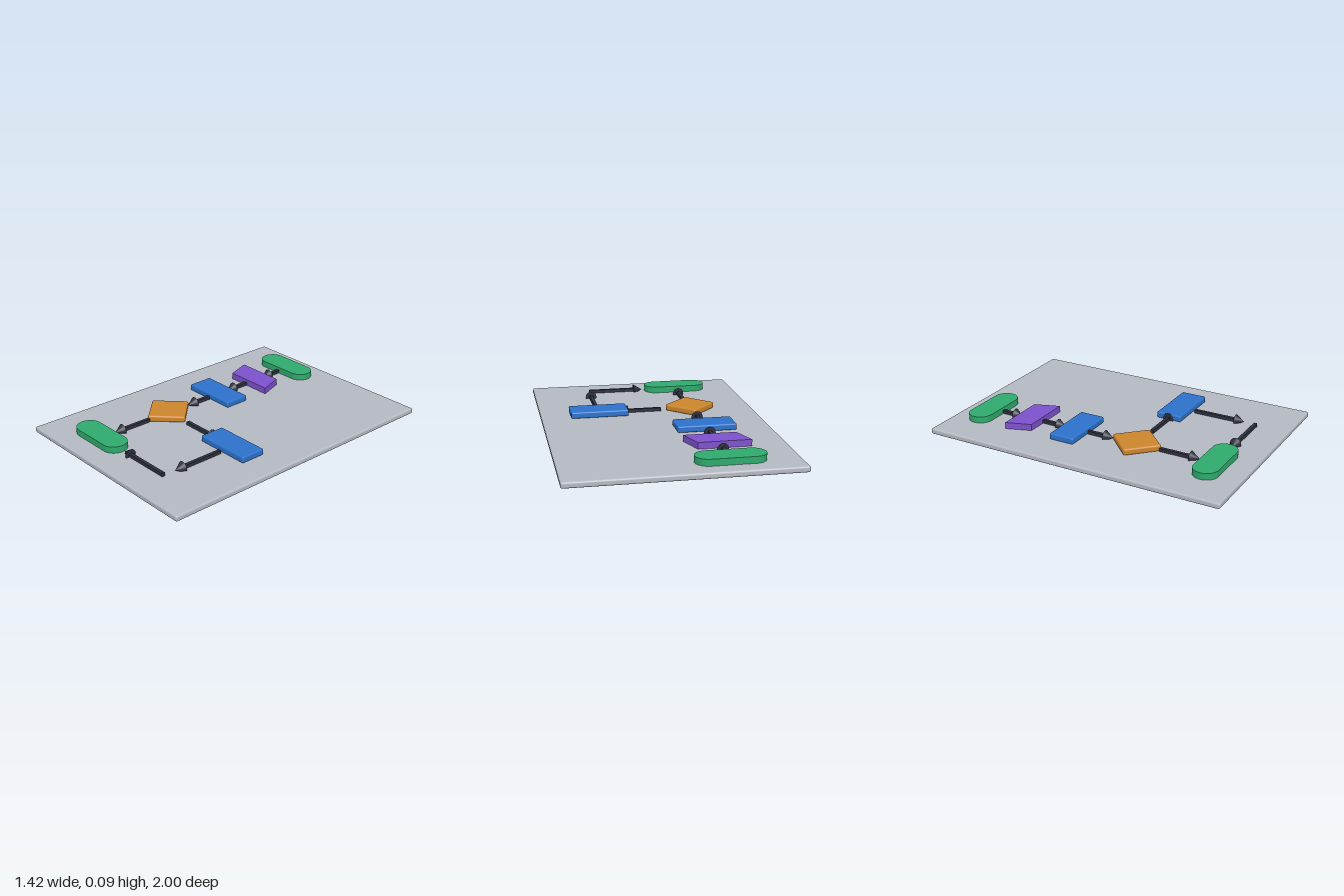
import * as THREE from 'three';
import { RoundedBoxGeometry } from 'three/addons/geometries/RoundedBoxGeometry.js';

const BOARD_H = 0.038; // board thickness
const TILE_H = 0.042; // thickness of the raised symbols
const COL_X = -0.288; // x of the main column

function material(name, color) {
  const m = new THREE.MeshStandardMaterial({ color });
  m.name = name;
  return m;
}

export function createModel() {
  const root = new THREE.Group();
  root.name = 'flowchartBoard';
  const grey = material('boardGrey', 0xb5b9c1);
  const green = material('terminalGreen', 0x2eaa6c);
  const purple = material('inputPurple', 0x7d52cc);
  const blue = material('processBlue', 0x2c72cc);
  const orange = material('decisionOrange', 0xcc852c);
  const dark = material('arrowDark', 0x2d313f);

  function add(name, geometry, mat, x, y, z, parent = root) {
    const mesh = new THREE.Mesh(geometry, mat);
    mesh.name = name;
    mesh.position.set(x, y, z);
    parent.add(mesh);
    return mesh;
  }

  // Flat outline extruded upwards; shape y points to -z
  function slab(shape) {
    const g = new THREE.ExtrudeGeometry(shape, { depth: TILE_H, bevelEnabled: false, curveSegments: 16 });
    return g.rotateX(-Math.PI / 2);
  }

  const tileY = BOARD_H + TILE_H / 2;

  // Base board
  add('board', new RoundedBoxGeometry(1.42, BOARD_H, 2, 3, 0.012), grey, 0, BOARD_H / 2, 0);

  // Start and end pills
  const r = 0.08, half = 0.134;
  const pill = new THREE.Shape();
  pill.moveTo(-half, -r);
  pill.lineTo(half, -r);
  pill.absarc(half, 0, r, -Math.PI / 2, Math.PI / 2, false);
  pill.lineTo(-half, r);
  pill.absarc(-half, 0, r, Math.PI / 2, Math.PI * 1.5, false);
  add('startTerminal', slab(pill), green, COL_X, BOARD_H, -0.814);
  add('endTerminal', slab(pill), green, COL_X, BOARD_H, 0.782);

  // Slanted input block
  const skew = new THREE.Shape([
    new THREE.Vector2(-0.138, -0.081), new THREE.Vector2(0.194, -0.081),
    new THREE.Vector2(0.138, 0.081), new THREE.Vector2(-0.194, 0.081),
  ]);
  add('inputBlock', slab(skew), purple, COL_X, BOARD_H, -0.505);

  // Process blocks and decision diamond
  const block = new RoundedBoxGeometry(0.38, TILE_H, 0.17, 3, 0.01);
  add('processBlock', block, blue, COL_X, tileY, -0.172);
  add('sideProcessBlock', block, blue, 0.33, tileY, 0.256);
  const diamond = new RoundedBoxGeometry(0.238, TILE_H, 0.238, 3, 0.012);
  add('decisionDiamond', diamond, orange, COL_X, tileY, 0.256).rotation.y = Math.PI / 4;

  // Arrow from one point to another on the board, cone at the far end
  const headLen = 0.058;
  const headGeometry = new THREE.ConeGeometry(0.037, headLen, 20).rotateX(Math.PI / 2);
  function arrow(name, x1, z1, x2, z2) {
    const g = new THREE.Group();
    g.name = name;
    g.position.set(x1, 0.05, z1);
    g.rotation.y = Math.atan2(x2 - x1, z2 - z1);
    const length = Math.hypot(x2 - x1, z2 - z1);
    const shaft = length - headLen;
    add('shaft', new THREE.BoxGeometry(0.022, 0.022, shaft), dark, 0, 0, shaft / 2, g);
    add('head', headGeometry, dark, 0, 0, length - headLen / 2, g);
    root.add(g);
  }
  arrow('arrowStartToInput', COL_X, -0.735, COL_X, -0.585);
  arrow('arrowInputToProcess', COL_X, -0.425, COL_X, -0.255);
  arrow('arrowProcessToDecision', COL_X, -0.088, COL_X, 0.09);
  arrow('arrowDecisionToEnd', COL_X, 0.415, COL_X, 0.68);
  arrow('arrowDecisionToSide', -0.09, 0.256, 0.193, 0.256);
  arrow('arrowSideDown', 0.33, 0.355, 0.33, 0.7);
  arrow('arrowReturnToEnd', 0.325, 0.782, -0.05, 0.782);

  return root;
}
